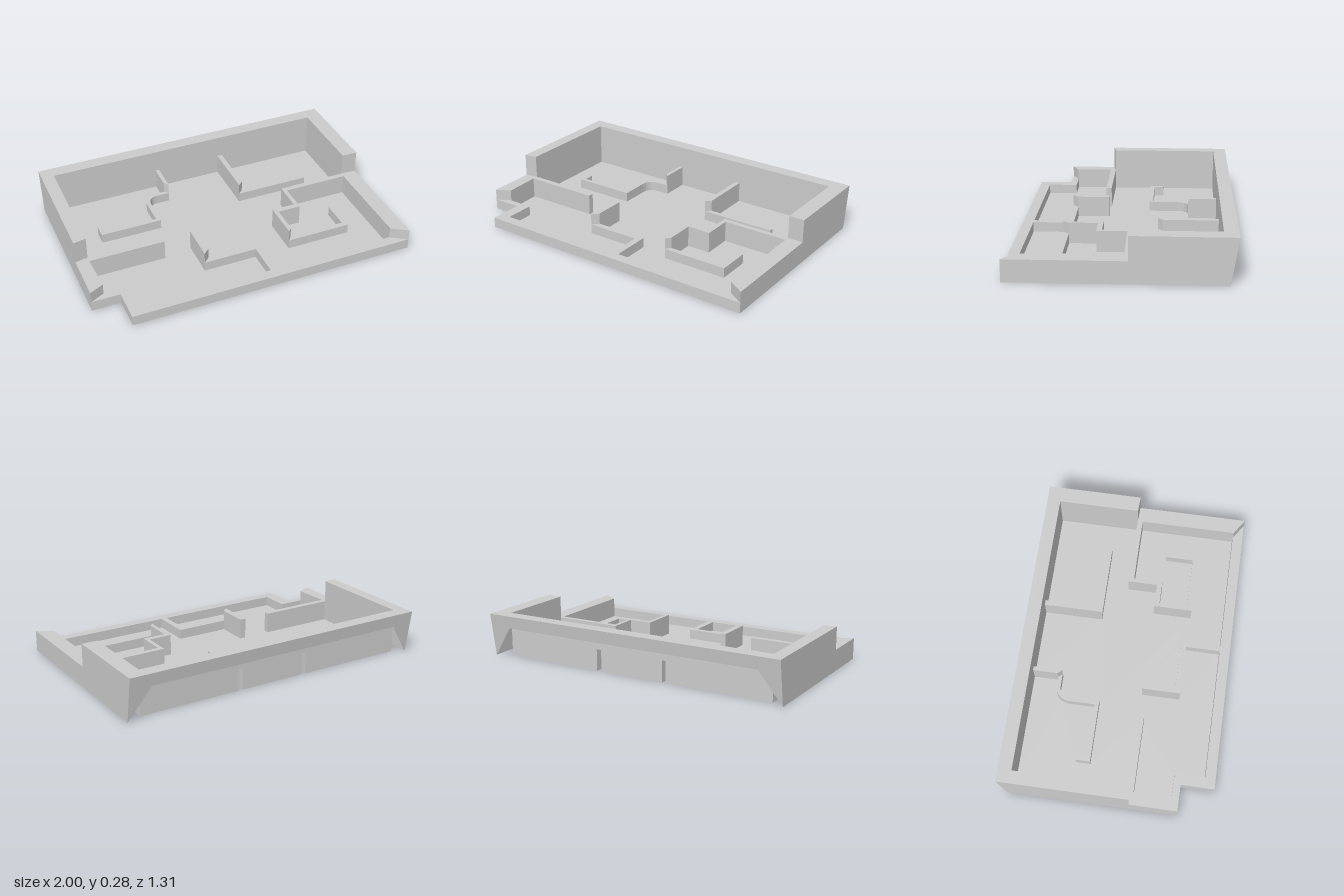
import * as THREE from 'three';
import { mergeGeometries } from 'three/addons/utils/BufferGeometryUtils.js';

const TALL = 0.28, MID = 0.135, LOW = 0.065;
const BACK = -0.655, BACK_FOOT = -0.61;

const key = p => p.join(',');
const toPlan = p => new THREE.Vector2(p[0], -p[1]);

// both edges of a wall run along a plan path [x, z], mitred at the corners;
// hx and hz are the half thicknesses across x and across z
function ribbon(path, hx, hz) {
  const normal = i => {
    const dx = path[i + 1][0] - path[i][0], dz = path[i + 1][1] - path[i][1], l = Math.hypot(dx, dz);
    return [-dz / l, dx / l];
  };
  const last = path.length - 1;
  const edge = side => path.map(([x, z], i) => {
    const m = normal(Math.max(i - 1, 0)), n = normal(Math.min(i, last - 1));
    const k = side / (1 + m[0] * n[0] + m[1] * n[1]);
    return [x + (m[0] + n[0]) * k * hx, z + (m[1] + n[1]) * k * hz].map(v => +v.toFixed(4));
  });
  return { a: edge(1), b: edge(-1) };
}

// plan outline of a stretch of a ribbon
const stretch = ({ a, b }, from, to) => [...a.slice(from, to + 1), ...b.slice(from, to + 1).reverse()];

// horizontal sheet from a plan outline
function sheet(outline, y) {
  const g = new THREE.ShapeGeometry(new THREE.Shape(outline.map(toPlan)));
  g.rotateX(-Math.PI / 2).translate(0, y, 0);
  const flat = g.toNonIndexed();
  flat.deleteAttribute('uv');
  return flat;
}

// polygon in space, fanned from its first corner
function fan(points) {
  const pos = [];
  for (let i = 1; i < points.length - 1; i++) pos.push(...points[0], ...points[i], ...points[i + 1]);
  const g = new THREE.BufferGeometry();
  g.setAttribute('position', new THREE.Float32BufferAttribute(pos, 3));
  g.computeVertexNormals();
  return g;
}

// the back edge leans in towards its foot
const leanZ = (z, y) => (z === BACK ? BACK + (BACK_FOOT - BACK) * (1 - y / TALL) : z);
const upright = (p, q, y0, y1) => fan(
  [[p, y0], [q, y0], [q, y1], [p, y1]].map(([[x, z], y]) => [x, y, leanZ(z, y)]));

// plan outlines of all walls: [name, height, outline]
function planWalls() {
  const front = ribbon([[0.1, 0.59], [0.1, 0.354], [-0.24, 0.354], [-0.24, 0.13]], 0.019, 0.018);
  const left = ribbon([[0.9, -0.038], [0.47, -0.038], [0.47, 0.148], [0.32, 0.148],
    [0.32, 0.36], [0.71, 0.36], [0.71, 0.165]], 0.013, 0.0165);
  const right = ribbon([[-0.92, 0.148], [-0.44, 0.148]], 0.018, 0.018);
  const backLeft = ribbon([[0.235, -0.57], [0.235, -0.213], [0.7, -0.213]], 0.016, 0.015);
  const bend = Array.from({ length: 6 }, (_, i) => {
    const t = i / 5 * Math.PI / 2;
    return [-0.3 - 0.07 * Math.sin(t), -0.32 - 0.08 * Math.cos(t)];
  });
  const backRight = ribbon([[-0.22, -0.57], [-0.22, -0.4], ...bend,
    [-0.37, -0.142], [-0.74, -0.142], [-0.74, -0.22]], 0.0125, 0.0125);
  const backRightEnd = backRight.a.length - 1;

  return [
    ['tallOuterWall', TALL, [[-1, 0.145], right.b[0], [-0.92, -0.57], backRight.a[0], backRight.b[0],
      backLeft.a[0], backLeft.b[0], [0.9, -0.57], left.a[0], [1, -0.05], [1, BACK], [-1, BACK]]],
    ['rightSideWall', MID, [[-1, 0.145], right.b[0], right.a[0], [-0.91, 0.4], [-1, 0.445]]],
    ['leftSideWall', MID, [[1, -0.05], left.a[0], left.b[0], [0.9, 0.59], [1, 0.655]]],
    ['frontWall', LOW, [[1, 0.655], [0.9, 0.59], front.a[0], front.b[0], [-0.75, 0.59], [-0.75, 0.4],
      [-0.91, 0.4], [-1, 0.445], [-0.82, 0.445], [-0.82, 0.655]]],
    ['rightPartition', MID, stretch(right, 0, 1)],
    ['frontLowPartition', LOW, stretch(front, 0, 2)],
    ['frontPartitionEnd', MID, stretch(front, 2, 3)],
    ['leftPartition', MID, stretch(left, 0, 4)],
    ['leftLowPartition', LOW, stretch(left, 4, 6)],
    ['backLeftPartition', MID, stretch(backLeft, 0, 1)],
    ['backLeftLowPartition', LOW, stretch(backLeft, 1, 2)],
    ['backRightPartition', MID, stretch(backRight, 0, 1)],
    ['curvedLowPartition', LOW, stretch(backRight, 1, backRightEnd)],
  ];
}

export function createModel() {
  const group = new THREE.Group();
  const material = new THREE.MeshStandardMaterial({ color: 0xcccccc, side: THREE.DoubleSide, flatShading: true });
  const add = (name, geometry) => {
    const mesh = new THREE.Mesh(geometry, material);
    mesh.name = name;
    group.add(mesh);
  };

  // outlines all run the same way, so touching walls share reversed edges
  const edgeHeight = new Map();
  const walls = planWalls().map(([name, height, pts]) => {
    const outline = THREE.ShapeUtils.isClockWise(pts.map(toPlan)) ? [...pts].reverse() : pts;
    const edges = outline.map((p, i) => [p, outline[(i + 1) % outline.length]]);
    edges.forEach(([p, q]) => edgeHeight.set(key(p) + '|' + key(q), height));
    return { name, height, outline, edges };
  });

  // hollow walls: a top, with sides down to the floor or to a lower neighbour
  const next = new Map();
  for (const { name, height, outline, edges } of walls) {
    const parts = [sheet(outline, height)];
    for (const [p, q] of edges) {
      const neighbour = edgeHeight.get(key(q) + '|' + key(p));
      if (neighbour === undefined) next.set(key(p), q);
      if (p[1] === BACK && q[1] === BACK) continue;
      const base = neighbour ?? 0;
      if (height > base) parts.push(upright(p, q, base, height));
    }
    add(name, mergeGeometries(parts));
  }

  // floor follows the inner foot of all walls
  const start = [-0.92, -0.57];
  const floor = [start];
  for (let p = next.get(key(start)); key(p) !== key(start); p = next.get(key(p))) floor.push(p);
  add('floor', sheet(floor, 0.003));

  // leaning back lip with a pointed tab at each corner
  const [a, b, c, d, e, f] = [[1, TALL], [1, 0], [0.86, 0.2], [-0.86, 0.2], [-1, 0], [-1, TALL]]
    .map(([x, y]) => [x, y, leanZ(BACK, y)]);
  add('backLip', mergeGeometries([fan([a, b, c]), fan([a, c, d, f]), fan([f, d, e])]));

  return group;
}
